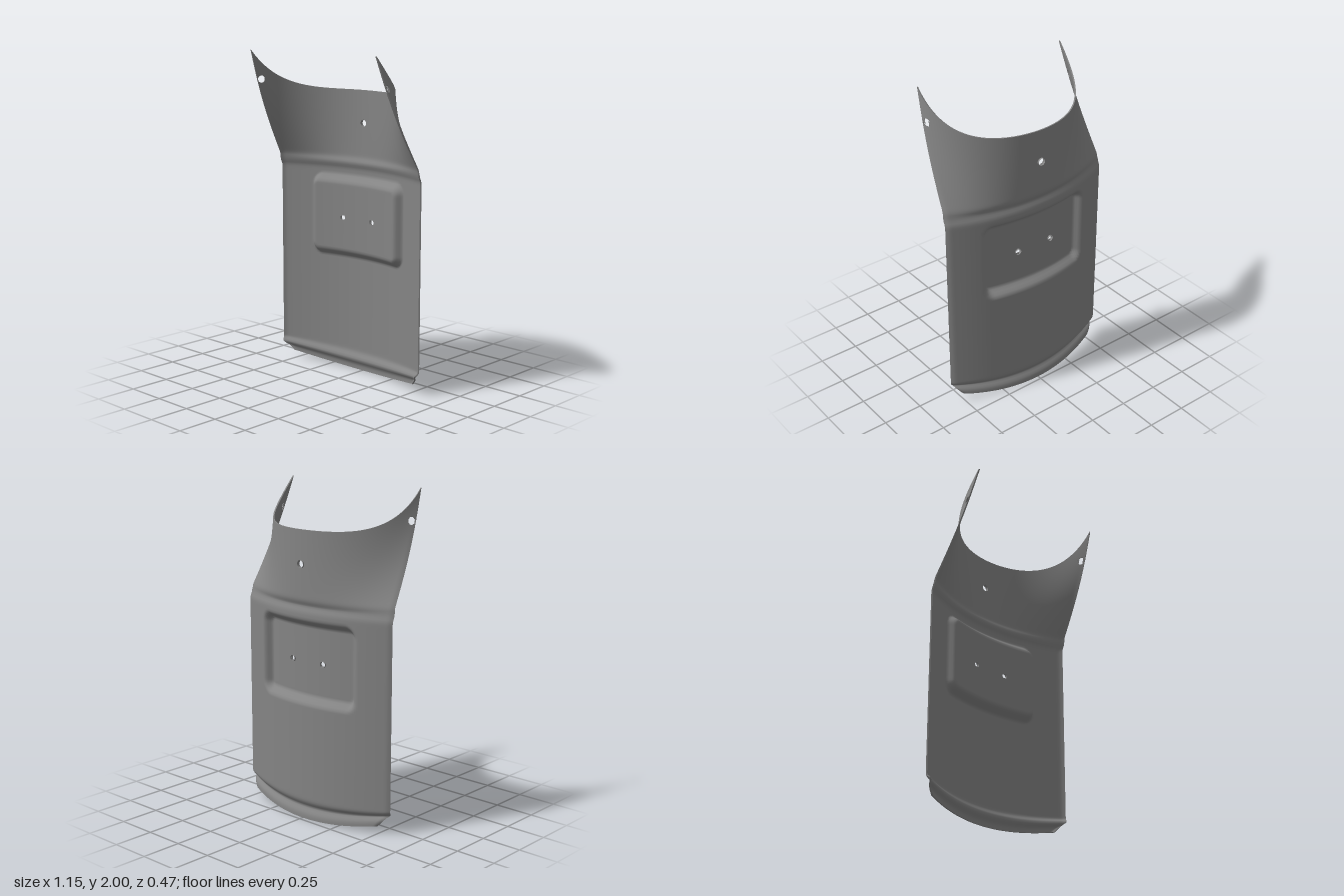
import * as THREE from 'three';

const COLS = 100, LOW = 106, UP = 50, SEAM = 1.31, THICK = 0.008;
const smooth = (a, b, x) => THREE.MathUtils.smoothstep(x, a, b);
const bump = (x, c, w) => Math.exp(-(((x - c) / w) ** 2));
const bow = x => -0.22 + 0.13 * (x / 0.57) ** 2;

// Recessed pocket: 0 outside, 1 on the floor
function pocket(x, y) {
  const r = 0.075;
  const dx = Math.abs(x) - 0.375 + r, dy = Math.abs(y - 0.975) - 0.26 + r;
  const d = Math.hypot(Math.max(dx, 0), Math.max(dy, 0)) + Math.min(Math.max(dx, dy), 0) - r;
  return smooth(0, 0.052, -d);
}

// Lower panel: bowed sheet with pocket, bottom bead and narrowed lip
function lowerPoint(u, h) {
  const w = 0.57 - 0.07 * (1 - Math.min(h / 0.13, 1)) ** 2;
  const x = w * u;
  const y = h + 0.05 * (x / 0.5) ** 2 * (1 - smooth(0, 0.2, h));
  const z = bow(x) + 0.05 * pocket(x, y) + 0.025 * bump(h, 0.07, 0.026)
    + 0.015 * bump(y, SEAM, 0.025) + 0.008 * smooth(0.97, 1, Math.abs(u));
  return new THREE.Vector3(x, y, z);
}

// Upper collar: loft from the seam to a half-elliptic rim with raised horns
function upperPoint(u, t) {
  const a = u * Math.PI / 2;
  const sweep = 1 - Math.cos(a);
  const rimZ = -0.22 + 0.455 * sweep;
  const rimY = 1.76 + 0.24 * sweep ** 2.1;
  const x = THREE.MathUtils.lerp(0.57 * u, 0.505 * Math.sin(a), t);
  const y = THREE.MathUtils.lerp(SEAM, rimY, t);
  const z = THREE.MathUtils.lerp(bow(0.57 * u), rimZ, t)
    + 0.025 * Math.sin(Math.PI * t) * u ** 4 + 0.015 * bump(y, SEAM, 0.025)
    + 0.008 * smooth(0.97, 1, Math.abs(u)) * (1 - t);
  return new THREE.Vector3(x, y, z);
}

const HOLES = [
  { name: 'upperHoleCollar', c: upperPoint(0, 0.25 / 0.45), r: 0.023, back: 0.015 },
  ...[-1, 1].map(s => ({ name: 'pocketHoleCollar', c: lowerPoint(s * 0.12 / 0.57, 0.97), r: 0.019, back: 0.013 })),
  ...[-1, 1].map(s => ({ name: 'hornHoleWall', c: upperPoint(s * 0.95, 0.78), r: 0.024, back: THICK / 2 })),
];

function skin(points, index) {
  const g = new THREE.BufferGeometry();
  g.setAttribute('position', new THREE.Float32BufferAttribute(points.flatMap(p => [p.x, p.y, p.z]), 3));
  g.setIndex(index);
  g.computeVertexNormals();
  return g;
}

export function createModel() {
  const group = new THREE.Group();
  const grey = new THREE.MeshStandardMaterial({ color: 0x848484, side: THREE.DoubleSide });
  grey.name = 'grey';
  const add = (name, geo) => {
    const m = new THREE.Mesh(geo, grey);
    m.name = name;
    group.add(m);
    return m;
  };

  // Middle surface
  const rows = LOW + UP, stride = COLS + 1, mid = [];
  for (let j = 0; j <= rows; j++) {
    for (let i = 0; i <= COLS; i++) {
      const u = i / COLS * 2 - 1;
      mid.push(j <= LOW ? lowerPoint(u, SEAM * j / LOW) : upperPoint(u, (j - LOW) / UP));
    }
  }

  // Push points out to the hole rims and drop the faces inside
  const owner = mid.map(p => {
    const k = HOLES.findIndex(h => p.distanceTo(h.c) < h.r);
    if (k >= 0) {
      const d = p.clone().sub(HOLES[k].c);
      if (d.length() > 1e-6) p.copy(HOLES[k].c).add(d.setLength(HOLES[k].r));
    }
    return k;
  });
  const index = [];
  const tri = (a, b, c) => {
    if (owner[a] < 0 || owner[b] < 0 || owner[c] < 0) index.push(a, b, c);
  };
  for (let j = 0; j < rows; j++) {
    for (let i = 0; i < COLS; i++) {
      const a = j * stride + i, b = a + 1, c = b + stride, d = a + stride;
      tri(a, b, c);
      tri(a, c, d);
    }
  }

  // Front and back skins of the sheet
  const normals = skin(mid, index).attributes.normal;
  const offset = s => mid.map((p, i) =>
    new THREE.Vector3().fromBufferAttribute(normals, i).multiplyScalar(s * THICK / 2).add(p));
  const front = offset(1), back = offset(-1);
  add('frontSkin', skin(front, index));
  add('backSkin', skin(back, [...index].reverse()));

  // Outer edge closing the two skins
  const sides = [[], [], [], []];
  for (let i = 0; i <= COLS; i++) {
    sides[0].push(i);
    sides[2].push(rows * stride + COLS - i);
  }
  for (let j = 0; j <= rows; j++) {
    sides[1].push(j * stride + COLS);
    sides[3].push((rows - j) * stride);
  }
  ['bottomEdge', 'leftEdge', 'topEdge', 'rightEdge'].forEach((name, k) => {
    const pts = [], idx = [];
    sides[k].forEach((v, n) => {
      pts.push(front[v], back[v]);
      if (n) idx.push(2 * n - 2, 2 * n - 1, 2 * n, 2 * n - 1, 2 * n + 1, 2 * n);
    });
    add(name, skin(pts, idx));
  });

  // Hole walls, some standing proud of the back
  for (const h of HOLES) {
    const near = mid.map((p, i) => i).filter(i => owner[i] < 0 && mid[i].distanceTo(h.c) < h.r * 1.8);
    const n = new THREE.Vector3();
    near.forEach(i => n.add(new THREE.Vector3().fromBufferAttribute(normals, i)));
    n.normalize();
    const length = h.back + THICK / 2;
    const wall = add(h.name, new THREE.CylinderGeometry(h.r, h.r, length, 20, 1, true));
    wall.quaternion.setFromUnitVectors(new THREE.Vector3(0, 1, 0), n);
    wall.position.copy(h.c).addScaledVector(n, THICK / 2 - length / 2);
  }
  return group;
}
